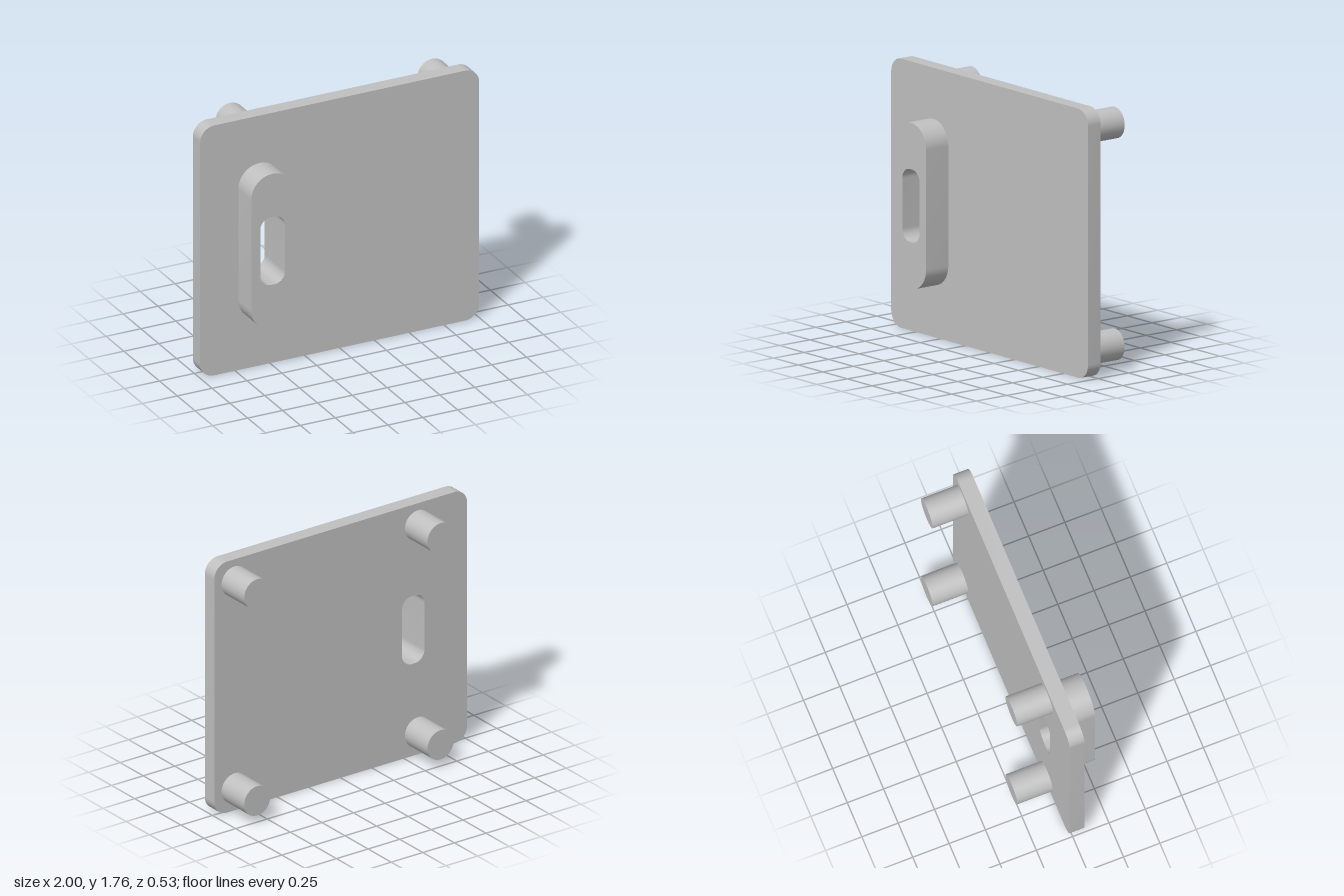
import * as THREE from 'three';
import { toCreasedNormals } from 'three/addons/utils/BufferGeometryUtils.js';

// Trace a rounded rectangle on a Shape or Path
function roundedRect(path, x0, y0, x1, y1, r) {
  path.moveTo(x0 + r, y0);
  path.lineTo(x1 - r, y0);
  path.absarc(x1 - r, y0 + r, r, -Math.PI / 2, 0);
  path.lineTo(x1, y1 - r);
  path.absarc(x1 - r, y1 - r, r, 0, Math.PI / 2);
  path.lineTo(x0 + r, y1);
  path.absarc(x0 + r, y1 - r, r, Math.PI / 2, Math.PI);
  path.lineTo(x0, y0 + r);
  path.absarc(x0 + r, y0 + r, r, Math.PI, Math.PI * 1.5);
  return path;
}

export function createModel() {
  const group = new THREE.Group();
  const grey = new THREE.MeshStandardMaterial({ color: 0xc0c0c0 });
  grey.name = 'grey';

  const backZ = -0.02, plateZ = 0.083, frontZ = 0.265;

  // Slab with the slot cut through it
  function slottedSlab(name, x0, y0, x1, y1, r, z0, z1) {
    const shape = roundedRect(new THREE.Shape(), x0, y0, x1, y1, r);
    shape.holes.push(roundedRect(new THREE.Path(), -0.662, 0.647, -0.485, 1.125, 0.075));
    const geometry = new THREE.ExtrudeGeometry(shape, {
      depth: z1 - z0, bevelEnabled: false, curveSegments: 12,
    });
    geometry.translate(0, 0, z0);
    const mesh = new THREE.Mesh(toCreasedNormals(geometry, 0.6), grey);
    mesh.name = name;
    group.add(mesh);
  }

  // Square plate and the raised rim around the slot
  slottedSlab('plate', -1, 0, 1, 1.765, 0.1, backZ, plateZ);
  slottedSlab('slotBoss', -0.727, 0.342, -0.42, 1.43, 0.1525, plateZ, frontZ);

  // Four round pegs on the back
  const pegLength = 0.245;
  const pegGeometry = new THREE.CylinderGeometry(0.103, 0.103, pegLength, 32);
  pegGeometry.rotateX(Math.PI / 2);
  for (const x of [-0.61, 0.84]) {
    for (const y of [0.158, 1.613]) {
      const peg = new THREE.Mesh(pegGeometry, grey);
      peg.name = (y > 1 ? 'upper' : 'lower') + (x > 0 ? 'Left' : 'Right') + 'Peg';
      peg.position.set(x, y, backZ - pegLength / 2);
      group.add(peg);
    }
  }
  return group;
}
